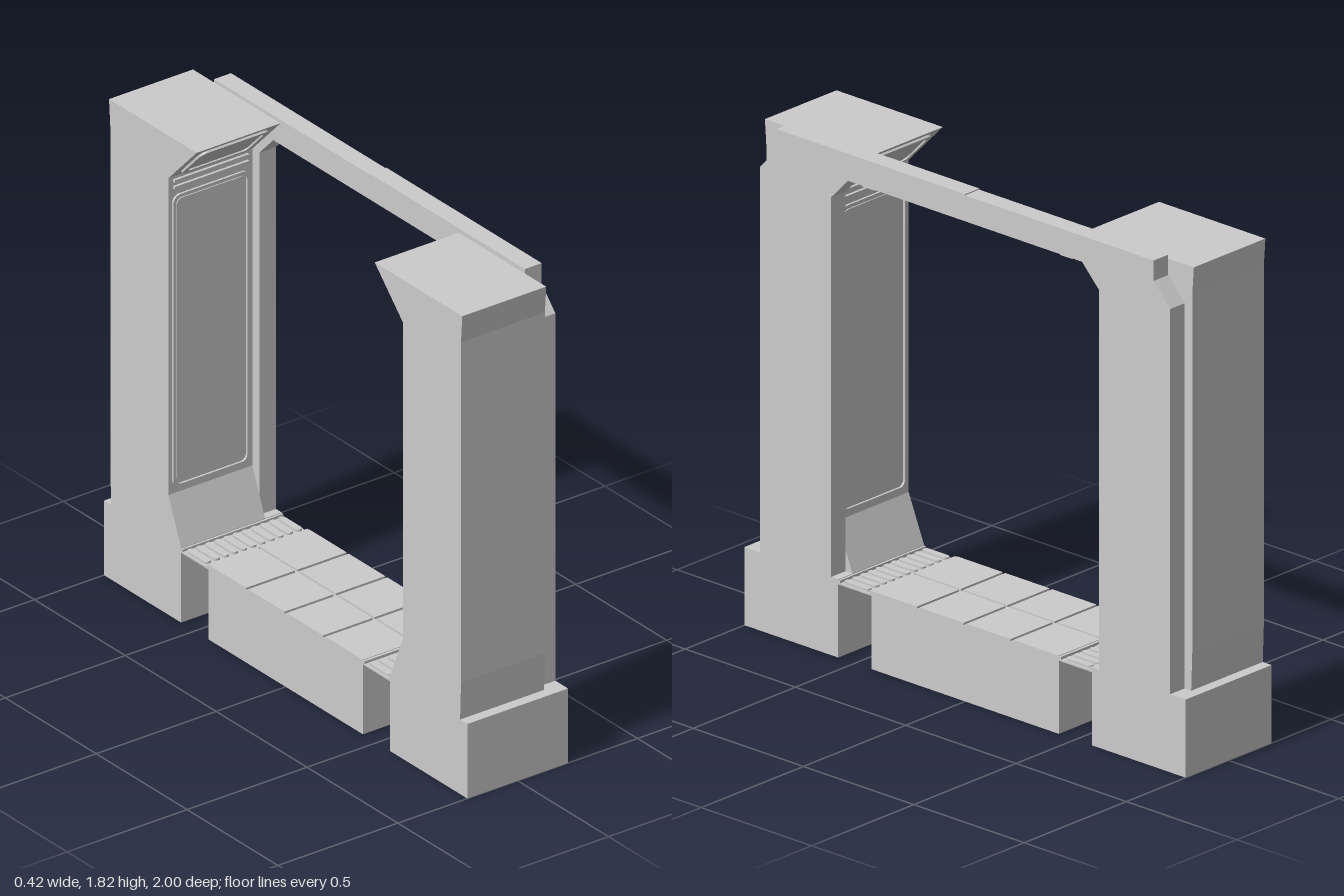
import * as THREE from 'three';

const material = new THREE.MeshStandardMaterial({ color: 0xcccccc, flatShading: true });

function add(parent, name, geometry, x = 0, y = 0, z = 0) {
  const mesh = new THREE.Mesh(geometry, material);
  mesh.name = name;
  mesh.position.set(x, y, z);
  parent.add(mesh);
  return mesh;
}

// Box given by its limits on each axis
function box(parent, name, x0, x1, y0, y1, z0, z1) {
  return add(parent, name, new THREE.BoxGeometry(x1 - x0, y1 - y0, z1 - z0),
    (x0 + x1) / 2, (y0 + y1) / 2, (z0 + z1) / 2);
}

// Profile of [z, y] points extruded from x0 to x1
function extrudeAcross(parent, name, points, x0, x1) {
  const shape = new THREE.Shape(points.map(([z, y]) => new THREE.Vector2(-z, y)));
  const geometry = new THREE.ExtrudeGeometry(shape, { depth: x1 - x0, bevelEnabled: false });
  geometry.rotateY(Math.PI / 2);
  return add(parent, name, geometry, x0);
}

function roundedRect(w, h, r, Type = THREE.Shape) {
  const s = new Type();
  s.absarc(w / 2 - r, h / 2 - r, r, 0, Math.PI / 2);
  s.absarc(-w / 2 + r, h / 2 - r, r, Math.PI / 2, Math.PI);
  s.absarc(-w / 2 + r, -h / 2 + r, r, Math.PI, Math.PI * 1.5);
  s.absarc(w / 2 - r, -h / 2 + r, r, Math.PI * 1.5, Math.PI * 2);
  s.closePath();
  return s;
}

// Raised rounded border around a slightly lower plate, facing local +z
function framedPanel(name, w, h, border) {
  const group = new THREE.Group();
  group.name = name;
  const options = (depth) => ({ depth, bevelEnabled: false, curveSegments: 6 });
  const rim = roundedRect(w, h, 0.03);
  rim.holes.push(roundedRect(w - 2 * border, h - 2 * border, 0.022, THREE.Path));
  add(group, name + 'Rim', new THREE.ExtrudeGeometry(rim, options(0.008)));
  const gap = 2 * border + 0.012;
  add(group, name + 'Plate', new THREE.ExtrudeGeometry(roundedRect(w - gap, h - gap, 0.02), options(0.004)));
  return group;
}

// One pillar with its base, grate and panels; s is the sign of z
function createPillar(s) {
  const group = new THREE.Group();
  group.name = s > 0 ? 'frontPillar' : 'backPillar';
  const zBox = (name, x0, x1, y0, y1, z0, z1) =>
    box(group, name, x0, x1, y0, y1, Math.min(s * z0, s * z1), Math.max(s * z0, s * z1));

  zBox('base', -0.21, 0.21, 0, 0.28, 0.575, 1);

  // Column with a sloping foot and an overhanging head
  const profile = [[0.96, 0.28], [0.575, 0.28], [0.645, 0.45], [0.645, 1.64], [0.49, 1.8],
    [0.972, 1.8], [0.965, 1.7], [0.965, 0.42]];
  extrudeAcross(group, 'column', profile.map(([z, y]) => [s * z, y]), -0.21, 0.14);

  // Tall panel on the inner face
  const turn = s > 0 ? Math.PI : 0;
  const tall = framedPanel('innerPanel', 0.32, 1.1, 0.012);
  tall.position.set(-0.035, 1.02, s * 0.645);
  tall.rotation.y = turn;
  group.add(tall);

  // Screen on the sloping underside of the head
  const screen = framedPanel('headScreen', 0.29, 0.18, 0.018);
  screen.position.set(-0.035, 1.72, s * 0.5675);
  screen.rotation.set(Math.atan2(0.155, 0.16), turn, 0, 'YXZ');
  group.add(screen);

  for (const y of [1.595, 1.62]) zBox('ventBar', -0.19, 0.12, y, y + 0.01, 0.635, 0.65);

  // Grate bridging the gap to the floor
  zBox('grateTray', -0.21, 0.21, 0.262, 0.268, 0.42, 0.58);
  zBox('grateEdge', -0.21, 0.21, 0.262, 0.278, 0.425, 0.435);
  zBox('grateEdge', -0.21, 0.21, 0.262, 0.278, 0.567, 0.575);
  const slat = new THREE.ExtrudeGeometry(roundedRect(0.026, 0.112, 0.0129),
    { depth: 0.01, bevelEnabled: false, curveSegments: 4 });
  slat.rotateX(-Math.PI / 2);
  for (let i = 0; i < 11; i++) add(group, 'grateSlat', slat, -0.19 + i * 0.038, 0.267, s * 0.503);

  // Small lamp under the gate beam
  zBox('beamLamp', 0.15, 0.2, 1.712, 1.722, 0.42, 0.477);
  return group;
}

export function createModel() {
  const model = new THREE.Group();
  model.name = 'gateway';
  for (const s of [1, -1]) model.add(createPillar(s));

  // Floor block with two columns of four tiles
  box(model, 'floorBlock', -0.21, 0.21, 0, 0.272, -0.425, 0.425);
  for (let i = 0; i < 2; i++) {
    for (let j = 0; j < 4; j++) {
      const x = -0.21 + i * 0.21, z = -0.425 + j * 0.2125;
      box(model, 'floorTile', x + (i ? 0.005 : 0), x + (i ? 0.21 : 0.205), 0.27, 0.28,
        z + (j > 0 ? 0.006 : 0), z + (j < 3 ? 0.2065 : 0.2125));
    }
  }

  // Gate frame with chamfered corners, standing along the left side
  const half = [[0.93, 0.28], [0.93, 1.66], [0.855, 1.74], [0.855, 1.813]];
  const inner = [[0.53, 1.72], [0.607, 1.64], [0.607, 0.28]];
  const flip = (points) => points.map(([z, y]) => [-z, y]).reverse();
  extrudeAcross(model, 'gateFrame', [...half, ...flip(half), ...flip(inner), ...inner], 0.14, 0.21);
  box(model, 'beamCap', 0.14, 0.21, 1.81, 1.817, 0, 0.855);
  return model;
}
